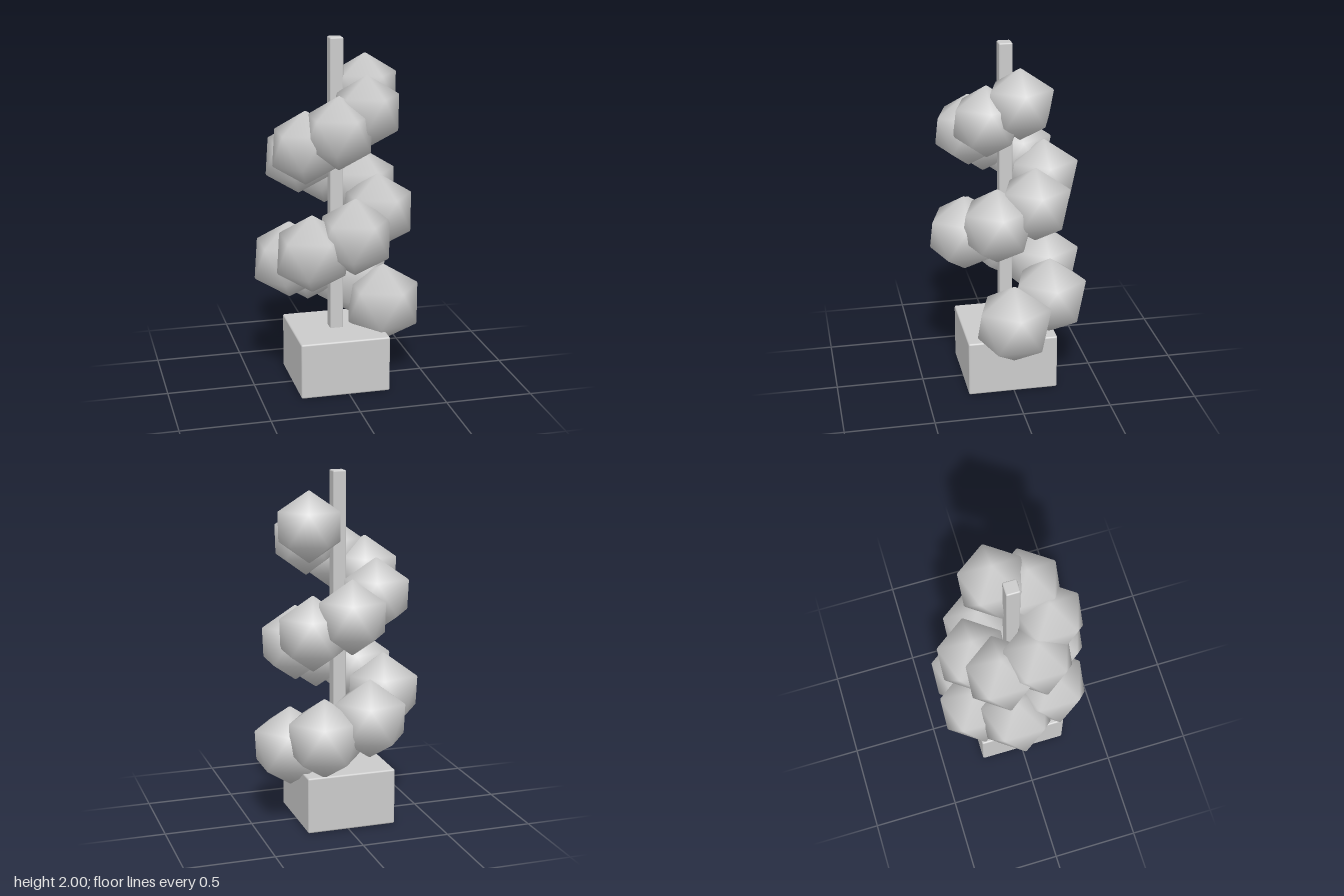
import * as THREE from 'three';
import { mergeVertices } from 'three/addons/utils/BufferGeometryUtils.js';
import { RoundedBoxGeometry } from 'three/addons/geometries/RoundedBoxGeometry.js';
import { ConvexGeometry } from 'three/addons/geometries/ConvexGeometry.js';

const CENTRE_X = -0.02, CENTRE_Z = 0.006;

// Icosahedron of radius 1, one corner up, with slightly bevelled edges and smooth normals
function bevelledIcosahedron(inset) {
  const ico = new THREE.IcosahedronGeometry(1, 0);
  ico.rotateZ(-Math.atan(2 / (1 + Math.sqrt(5))));
  const p = ico.attributes.position, points = [];
  for (let f = 0; f < p.count; f += 3) {
    const face = [0, 1, 2].map(k => new THREE.Vector3().fromBufferAttribute(p, f + k));
    const mid = new THREE.Vector3().add(face[0]).add(face[1]).add(face[2]).divideScalar(3);
    face.forEach(v => points.push(v.clone().lerp(mid, inset)));
  }
  const hull = new ConvexGeometry(points);
  hull.deleteAttribute('normal');
  const geo = mergeVertices(hull, 1e-4);
  const normals = geo.attributes.position.clone(), n = new THREE.Vector3();
  for (let i = 0; i < normals.count; i++) {
    n.fromBufferAttribute(normals, i).normalize();
    normals.setXYZ(i, n.x, n.y, n.z);
  }
  geo.setAttribute('normal', normals);
  return geo;
}

export function createModel() {
  const model = new THREE.Group();
  const grey = new THREE.MeshStandardMaterial({ color: 0xcccccc });

  function add(name, geometry, x, y, z, parent = model) {
    const mesh = new THREE.Mesh(geometry, grey);
    mesh.name = name;
    mesh.position.set(x, y, z);
    parent.add(mesh);
    return mesh;
  }

  // Planter block and square pole
  add('base', new RoundedBoxGeometry(0.515, 0.325, 0.515, 2, 0.01), CENTRE_X, 0.1625, CENTRE_Z);
  add('pole', new RoundedBoxGeometry(0.076, 1.69, 0.076, 2, 0.008), CENTRE_X, 1.155, CENTRE_Z);

  // Foliage clumps spiral up the pole, shrinking and closing in
  const foliage = new THREE.Group();
  foliage.name = 'foliage';
  model.add(foliage);
  const clump = bevelledIcosahedron(0.05);
  const step = THREE.MathUtils.degToRad(56.55);
  for (let i = 0; i < 14; i++) {
    const reach = 0.285 - 0.0075 * i;
    const mesh = add('foliageClump', clump,
      CENTRE_X + reach * Math.cos(i * step),
      0.445 + 0.0965 * i,
      CENTRE_Z - reach * Math.sin(i * step), foliage);
    mesh.scale.setScalar((0.23 - 0.0024 * i) * 1.015);
  }
  return model;
}
